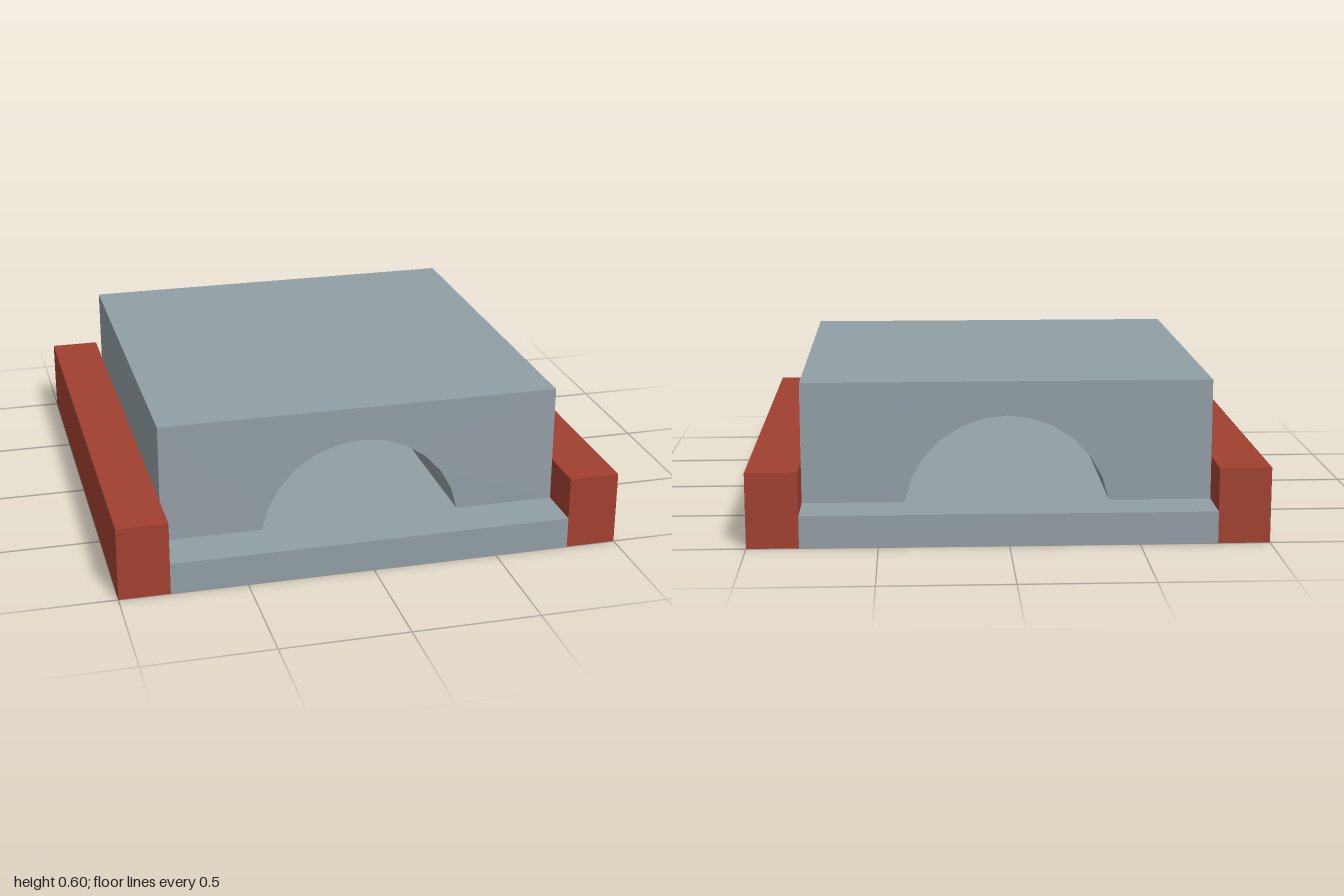
import * as THREE from 'three';

export function createModel() {
  const model = new THREE.Group();
  const grey = new THREE.MeshStandardMaterial({ color: 0x919ea5, flatShading: true });
  const red = new THREE.MeshStandardMaterial({ color: 0xa0402f, flatShading: true });
  const floorY = 0.125;

  const add = (name, geometry, material, x, y, z) => {
    const mesh = new THREE.Mesh(geometry, material);
    mesh.name = name;
    mesh.position.set(x, y, z);
    model.add(mesh);
  };

  // Base slab running the full depth
  add('baseSlab', new THREE.BoxGeometry(1.6, floorY, 2), grey, 0, floorY / 2, 0);

  // Side rails, with the grey underside of the base continuing below them
  const railFaces = [red, red, red, grey, red, red];
  for (const [name, side] of [['leftRail', 1], ['rightRail', -1]]) {
    add(name, new THREE.BoxGeometry(0.2, 0.295, 2), railFaces, side * 0.9, 0.1475, 0);
  }

  // Block with a faceted arched passage from front to back
  const radius = 0.405, centreY = 0.06, segments = 12;
  const start = Math.asin((floorY - centreY) / radius);
  const outline = [[-0.8, floorY], [-0.8, 0.6], [0.8, 0.6], [0.8, floorY]]
    .map(([x, y]) => new THREE.Vector2(x, y));
  for (let i = 0; i <= segments; i++) {
    const a = start + (Math.PI - 2 * start) * (i / segments);
    outline.push(new THREE.Vector2(radius * Math.cos(a), centreY + radius * Math.sin(a)));
  }
  const block = new THREE.ExtrudeGeometry(new THREE.Shape(outline), { depth: 1.6, bevelEnabled: false });
  add('archedBlock', block, grey, 0, 0, -0.8);

  return model;
}
